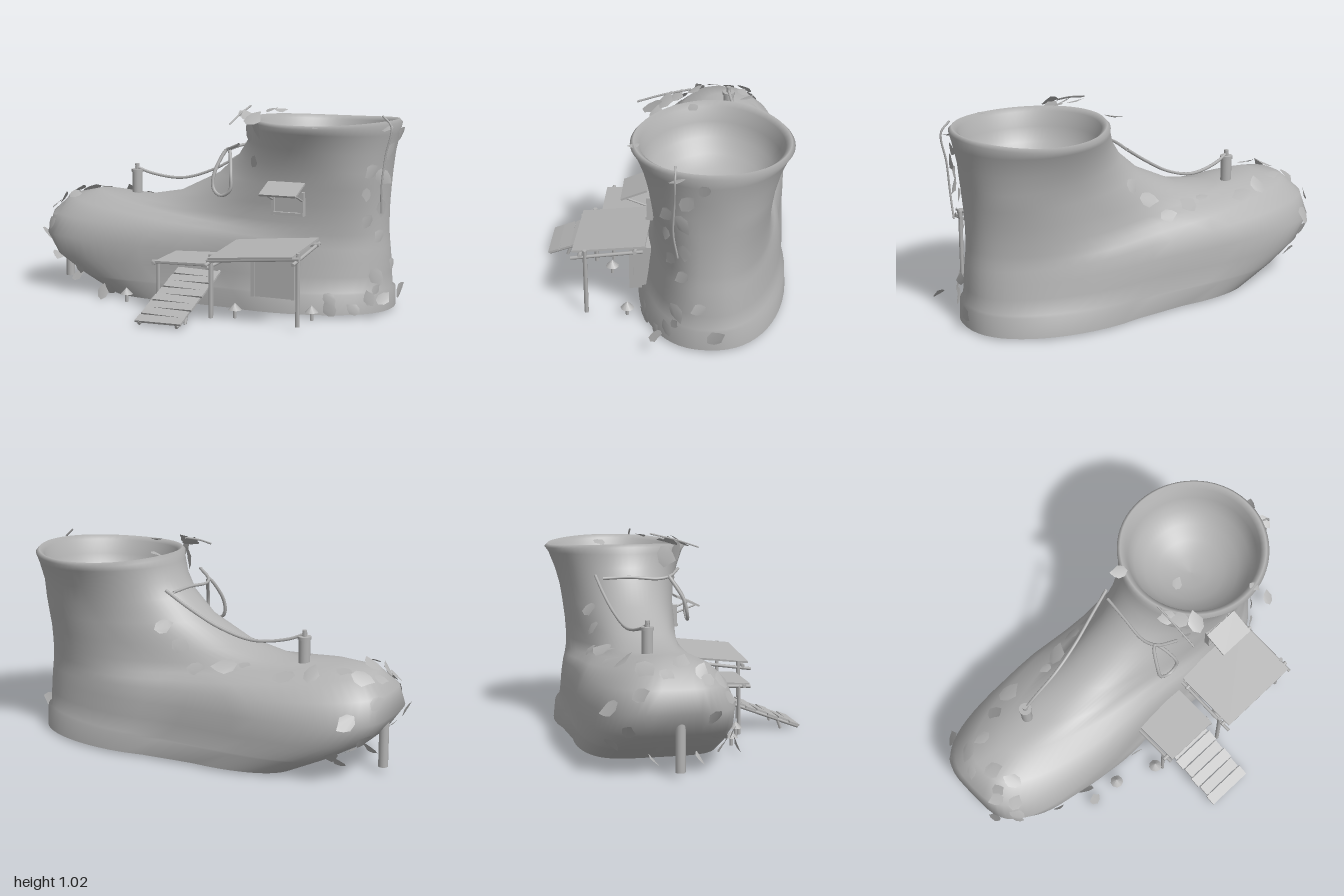
import * as THREE from 'three';

const grey = new THREE.MeshStandardMaterial({ color: 0xb3b3b3 });
grey.side = THREE.DoubleSide;
const V = (x, y, z) => new THREE.Vector3(x, y, z);

export function createModel() {
  const root = new THREE.Group();
  root.name = 'bootHouse';
  const add = (name, geo) => {
    const m = new THREE.Mesh(geo, grey);
    m.name = name;
    root.add(m);
    return m;
  };
  const box = (name, size, pos, rx = 0, rz = 0) => {
    const m = add(name, new THREE.BoxGeometry(...size));
    m.position.set(...pos);
    m.rotation.set(rx, 0, rz);
    return m;
  };
  const rod = (name, a, b, r, sides = 7) => {
    const p = V(...a), q = V(...b);
    const m = add(name, new THREE.CylinderGeometry(r, r, p.distanceTo(q), sides));
    m.position.copy(p).add(q).multiplyScalar(0.5);
    m.quaternion.setFromUnitVectors(V(0, 1, 0), q.sub(p).normalize());
    return m;
  };
  const tube = (name, pts, r, closed = false) => add(name, new THREE.TubeGeometry(
    new THREE.CatmullRomCurve3(pts.map(p => V(...p)), closed), 32, r, 6, closed));

  // Boot: tilted loops as [toe x, toe y, toe half width, toe squareness, heel x, heel y, heel half width, sag]
  const loops = [
    [-0.57, 0.02, 0.350, 4.5, 0.93, 0.02, 0.385, 0],
    [-0.74, 0.10, 0.355, 4.5, 0.93, 0.12, 0.382, 0],
    [-0.755, 0.108, 0.355, 4.5, 0.916, 0.126, 0.362, 0],
    [-0.92, 0.20, 0.358, 4.2, 0.914, 0.20, 0.358, 0],
    [-1.00, 0.31, 0.360, 3.8, 0.91, 0.27, 0.354, 0],
    [-0.985, 0.42, 0.330, 3.2, 0.905, 0.33, 0.344, 0.01],
    [-0.90, 0.505, 0.270, 2.8, 0.90, 0.37, 0.334, 0.03],
    [-0.74, 0.540, 0.200, 2.2, 0.898, 0.41, 0.326, 0.045],
    [-0.50, 0.512, 0.200, 2.1, 0.896, 0.47, 0.313, 0.02],
    [-0.25, 0.555, 0.235, 2, 0.896, 0.55, 0.306, 0],
    [-0.02, 0.665, 0.260, 2, 0.90, 0.63, 0.305, 0],
    [0.10, 0.77, 0.290, 2, 0.905, 0.71, 0.310, 0],
    [0.155, 0.85, 0.325, 2, 0.92, 0.80, 0.332, 0],
    [0.182, 0.92, 0.362, 2, 0.938, 0.90, 0.362, 0],
  ];
  // Round collar lip, then a shallow dish inside it
  const ring = (r, y, sag) => loops.push([0.568 - r, y, r, 2, 0.568 + r, y, r, sag]);
  ring(0.382, 0.955, 0.018);
  ring(0.366, 0.972, 0.018);
  for (let i = 0; i <= 6; i++) {
    const a = i / 6 * 1.568;
    ring(0.338 * Math.cos(a), 0.952 - 0.29 * Math.sin(a), 0.018 * Math.cos(a));
  }
  const N = 64, pos = [], idx = [];
  loops.forEach(([fx, fy, fw, fn, hx, hy, hw, sag], j) => {
    for (let i = 0; i < N; i++) {
      const t = i / N * Math.PI * 2, c = Math.cos(t), s = Math.sin(t);
      const n = c < 0 ? fn : j < 12 ? 2.3 : 2;
      const u = Math.sign(c) * Math.abs(c) ** (2 / n), v = Math.sign(s) * Math.abs(s) ** (2 / n);
      const x = (fx + hx) / 2 + (hx - fx) / 2 * u;
      const w = fw + (hw - fw) * THREE.MathUtils.smoothstep(u, -1, 0.8);
      const waist = 1 - 0.08 * Math.exp(-(((x - 0.04) / 0.2) ** 2));
      pos.push(x, (fy + hy) / 2 + (hy - fy) / 2 * u - sag * (1 - u * u), -0.24 + w * v * waist);
      if (j) {
        const k = (i + 1) % N, a = (j - 1) * N + i, b = (j - 1) * N + k;
        idx.push(a, a + N, b, b, a + N, b + N);
      }
    }
  });
  const bootGeo = new THREE.BufferGeometry();
  bootGeo.setAttribute('position', new THREE.Float32BufferAttribute(pos, 3));
  bootGeo.setIndex(idx);
  bootGeo.computeVertexNormals();
  const boot = add('boot', bootGeo);

  // Toe prop, chimney and lace
  rod('toeProp', [-0.94, 0.035, -0.22], [-0.94, 0.27, -0.22], 0.024, 12);
  rod('chimney', [-0.55, 0.48, -0.29], [-0.55, 0.635, -0.29], 0.028, 12);
  rod('chimneyCap', [-0.55, 0.63, -0.29], [-0.55, 0.645, -0.29], 0.033, 12);
  rod('chimneyKnob', [-0.55, 0.645, -0.29], [-0.55, 0.675, -0.29], 0.012, 8);
  tube('lace', [[-0.56, 0.66, -0.285], [-0.47, 0.625, -0.31], [-0.3, 0.605, -0.34],
    [-0.13, 0.655, -0.37], [0.02, 0.74, -0.4], [0.14, 0.82, -0.42]], 0.008);
  tube('laceAcross', [[0.115, 0.805, -0.385], [0.1, 0.81, -0.25], [0.09, 0.8, -0.1],
    [0.12, 0.81, -0.03], [0.2, 0.84, 0.03]], 0.008);
  tube('laceLoop', [[0.11, 0.81, -0.04], [0.065, 0.69, 0.03], [0.07, 0.61, 0.05],
    [0.115, 0.58, 0.06], [0.165, 0.61, 0.06], [0.165, 0.69, 0.05]], 0.009, true);

  // Window with shelf and awning
  box('windowAwning', [0.195, 0.01, 0.135], [0.475, 0.64, 0.128], 0.4);
  box('windowPane', [0.15, 0.1, 0.02], [0.48, 0.56, 0.045]);
  box('windowSill', [0.17, 0.014, 0.03], [0.48, 0.512, 0.06]);
  for (const x of [0.402, 0.558]) {
    box('windowPost', [0.014, 0.12, 0.03], [x, 0.562, 0.055]);
    rod('awningStrut', [x, 0.58, 0.07], [x, 0.62, 0.175], 0.005);
  }

  // Door in its frame
  box('doorBlock', [0.22, 0.235, 0.1], [0.44, 0.218, 0.1]);
  for (const x of [0.333, 0.547]) box('doorPost', [0.018, 0.24, 0.02], [x, 0.22, 0.148]);
  box('doorLintel', [0.232, 0.018, 0.02], [0.44, 0.332, 0.148]);

  // Large porch
  box('porchRoof', [0.44, 0.01, 0.355], [0.43, 0.362, 0.245], 0.11, 0.09);
  for (const z of [0.12, 0.385]) {
    const y = 0.345 - (z - 0.245) * 0.11;
    rod('porchBeam', [0.19, y - 0.022, z], [0.67, y + 0.022, z], 0.01);
  }
  for (const [x, y] of [[0.2, 0.335], [0.655, 0.375]]) {
    rod('porchPost', [x, 0.02, 0.36], [x, y, 0.36], 0.011);
    rod('porchRafter', [x, y + 0.005, 0.08], [x, y - 0.045, 0.43], 0.009);
  }

  // Small porch over the steps
  box('entryRoof', [0.29, 0.01, 0.27], [0.025, 0.28, 0.2], 0.06, 0.03);
  rod('entryBeam', [-0.15, 0.262, 0.3], [0.175, 0.27, 0.3], 0.01);
  for (const x of [-0.13, 0.165]) {
    rod('entryPost', [x, 0.01, 0.275], [x, 0.265, 0.275], 0.009);
    rod('entryRafter', [x, 0.27, 0.06], [x, 0.258, 0.335], 0.009);
  }

  // Steps
  for (const x of [-0.06, 0.14]) {
    rod('stairRail', [x, 0.205, 0.13], [x, 0.02, 0.615], 0.009);
    rod('stairProp', [x, 0.07, 0.5], [x, 0.015, 0.52], 0.008);
  }
  for (let i = 0; i < 8; i++) {
    const t = (i + 0.5) / 8;
    box('stairTread', [0.235 + 0.012 * (i % 2), 0.01, 0.057],
      [0.04, 0.21 - 0.18 * t, 0.15 + 0.47 * t], 0.37, i % 2 ? 0.02 : -0.02);
  }

  // Mushrooms
  for (const [x, z] of [[-0.37, 0.17], [-0.16, 0.25], [0.29, 0.27], [0.65, 0.16]]) {
    rod('mushroomStem', [x, 0.01, z], [x, 0.06, z], 0.009);
    const cap = add('mushroomCap', new THREE.ConeGeometry(0.034, 0.035, 9));
    cap.position.set(x, 0.068, z);
  }

  // Leaves: a bent, pointed outline laid on the boot where a ray meets it
  const shape = new THREE.Shape([[0, -1], [0.55, -0.65], [0.75, 0], [0.4, 0.5], [0.1, 1],
    [-0.4, 0.6], [-0.7, 0.1], [-0.55, -0.6]].map(p => new THREE.Vector2(...p)));
  const leafGeo = new THREE.ShapeGeometry(shape);
  const lp = leafGeo.attributes.position;
  for (let i = 0; i < lp.count; i++) lp.setZ(i, -0.25 * lp.getX(i) ** 2 + 0.1 * lp.getY(i));
  leafGeo.computeVertexNormals();
  let seed = 7;
  const rnd = () => (seed = (seed * 16807) % 2147483647) / 2147483647;
  const leaf = (p, n, size) => {
    const m = add('leaf', leafGeo);
    m.position.copy(p);
    m.lookAt(p.clone().add(n));
    m.rotateZ(rnd() * 6.28);
    m.rotateX((rnd() - 0.5) * 0.5);
    m.scale.setScalar(size);
  };
  const ray = new THREE.Raycaster();
  boot.updateMatrixWorld();
  const cling = (from, dir, size, lift = 0.02) => {
    const d = V(...dir);
    ray.set(V(...from), d);
    const hit = ray.intersectObject(boot)[0];
    if (!hit) return;
    const n = hit.face.normal.clone();
    if (n.dot(d) > 0) n.negate();
    leaf(hit.point.addScaledVector(n, lift), n, size);
  };
  // Along the instep and over the toe
  for (const [x, z, s] of [[-0.65, -0.42, 0.055], [-0.52, -0.46, 0.065], [-0.3, -0.42, 0.035],
    [-0.2, -0.44, 0.065], [-0.06, -0.47, 0.05], [0.04, -0.44, 0.055], [0.14, -0.44, 0.05],
    [-0.87, -0.52, 0.055], [-0.88, -0.36, 0.06], [-0.79, -0.36, 0.045],
    [-0.86, -0.2, 0.055], [-0.83, -0.1, 0.05], [-0.88, -0.03, 0.05], [-0.78, -0.56, 0.045],
    [-0.93, -0.28, 0.04], [-0.9, -0.12, 0.045]]) cling([x, 2, z], [0, -1, 0], s);
  // Down the toe
  for (const [y, z] of [[0.44, -0.1], [0.4, -0.4], [0.36, 0], [0.3, -0.08], [0.24, -0.45],
    [0.2, -0.03], [0.13, -0.3], [0.16, -0.5]]) cling([-2, y, z], [1, 0, 0], 0.045);
  // Up the heel
  for (const [y, z, s] of [[0.91, -0.22, 0.04], [0.83, -0.15, 0.05], [0.73, -0.06, 0.045],
    [0.7, -0.13, 0.055], [0.54, -0.14, 0.048], [0.48, -0.08, 0.042], [0.4, -0.13, 0.042],
    [0.25, -0.2, 0.04], [0.2, -0.11, 0.055], [0.14, -0.1, 0.03], [0.11, -0.28, 0.052],
    [0.1, 0.05, 0.04], [0.62, -0.06, 0.035]]) cling([2, y, z], [-1, 0, 0], s, 0.03);
  // Front side and near the ground
  for (const [x, y, s] of [[0.285, 0.76, 0.035], [0.25, 0.9, 0.08], [0.31, 0.93, 0.06],
    [-0.52, 0.06, 0.055], [-0.18, 0.06, 0.04], [0.7, 0.05, 0.045], [0.86, 0.1, 0.045],
    [0.8, 0.05, 0.04], [-0.7, 0.16, 0.04]]) cling([x, y, 2], [0, 0, -1], s);
  // On the collar and on the ground
  for (const [x, y, z, s] of [[0.2, 0.99, -0.05, 0.05], [0.24, 0.985, 0, 0.055], [0.29, 0.98, 0.06, 0.06],
    [0.36, 1.01, -0.14, 0.035], [0.2, 0.99, -0.39, 0.045], [0.93, 0.94, -0.1, 0.045],
    [0.64, 0.95, 0.12, 0.03]]) leaf(V(x, y, z), V(0.4 * (rnd() - 0.5), 1, 0.3), s);
  for (const [x, y, z] of [[-0.82, 0.07, -0.1], [-0.74, 0.05, -0.3], [-0.52, 0.05, 0.16],
    [0.96, 0.12, 0]]) leaf(V(x, y, z), V(rnd() - 0.5, 0.6, 0.7), 0.045);

  // Vines
  tube('heelVine', [[0.91, 1.0, -0.09], [0.955, 0.95, -0.09], [0.93, 0.8, -0.085],
    [0.915, 0.65, -0.08], [0.91, 0.52, -0.1]], 0.005);
  tube('collarVine', [[0.2, 0.95, 0.14], [0.2, 0.99, 0.02], [0.2, 1.025, -0.12]], 0.005);
  return root;
}
